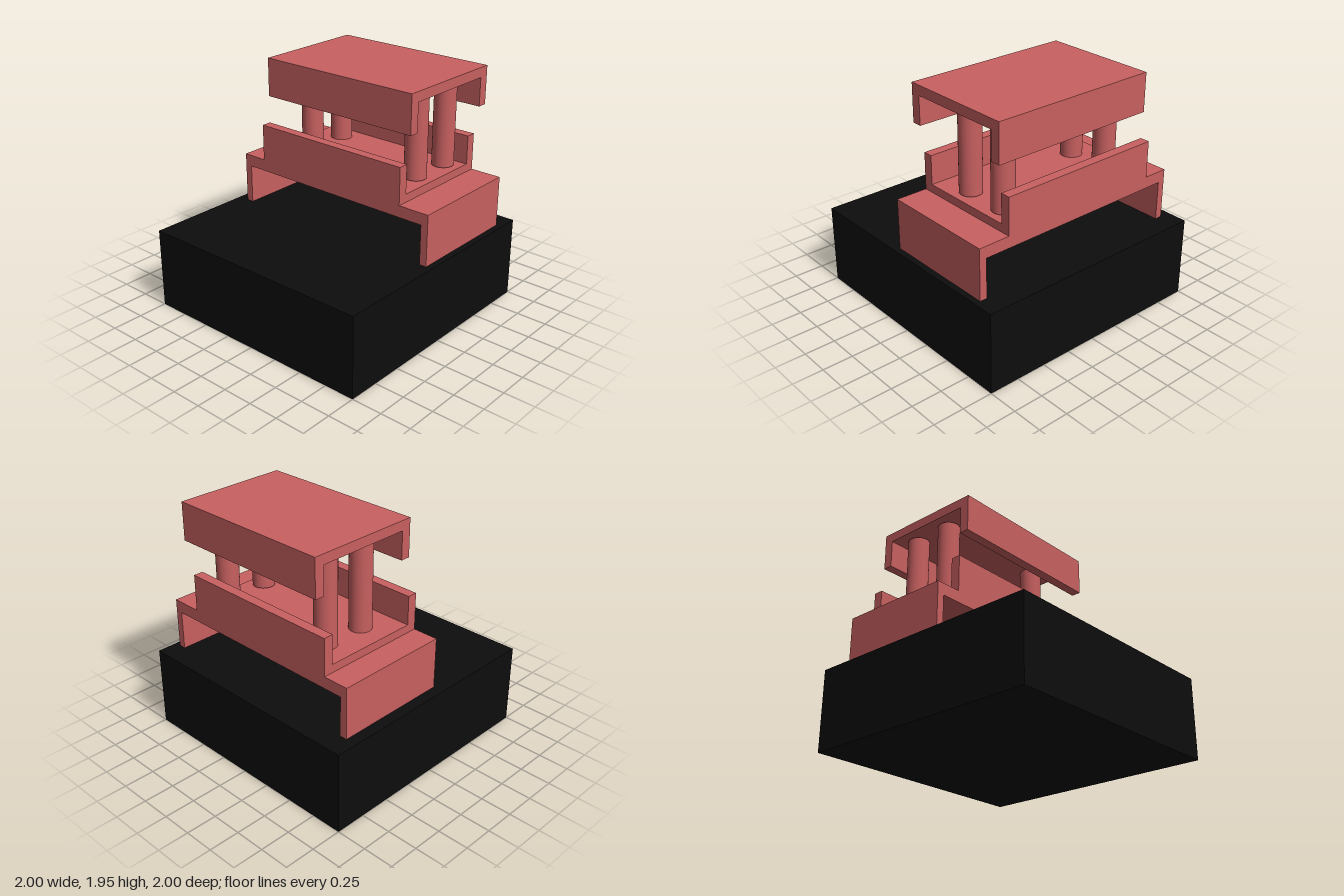
import * as THREE from 'three';

const red = new THREE.MeshStandardMaterial({ color: 0xc86060 });
const black = new THREE.MeshStandardMaterial({ color: 0x0d0d0d });

// Extrude a closed outline of [u, v] points by depth
function extrude(name, points, depth) {
  const shape = new THREE.Shape(points.map(([u, v]) => new THREE.Vector2(u, v)));
  const geometry = new THREE.ExtrudeGeometry(shape, { depth, bevelEnabled: false });
  const mesh = new THREE.Mesh(geometry, red);
  mesh.name = name;
  return mesh;
}

// Channel running along x: outline in (-z, y), turned to face along +x
function channel(name, points, x0, x1) {
  const mesh = extrude(name, points, x1 - x0);
  mesh.geometry.rotateY(Math.PI / 2);
  mesh.position.x = x0;
  return mesh;
}

export function createModel() {
  const model = new THREE.Group();
  const front = 0.115, back = -0.83, wall = 0.08;

  // Ground block
  const base = new THREE.Mesh(new THREE.BoxGeometry(2, 0.66, 2), black);
  base.name = 'base';
  base.position.y = 0.33;
  model.add(base);

  // Bridge: deck with a leg wall at each end
  const bridge = extrude('bridge', [
    [-0.91, 0.66], [-0.85, 0.66], [-0.85, 0.98], [0.89, 0.98],
    [0.89, 0.66], [0.95, 0.66], [0.95, 1.075], [-0.91, 1.075],
  ], front - back);
  bridge.position.z = back;
  model.add(bridge);

  // Tray: upward channel with open ends
  const a = -front, b = -back;
  model.add(channel('tray', [
    [a, 1.075], [b, 1.075], [b, 1.375], [b - wall, 1.375],
    [b - wall, 1.14], [a + wall, 1.14], [a + wall, 1.375], [a, 1.375],
  ], -0.7, 0.69));

  // Roof: downward channel with open ends
  model.add(channel('roof', [
    [a, 1.635], [a + wall, 1.635], [a + wall, 1.865], [b - wall, 1.865],
    [b - wall, 1.635], [b, 1.635], [b, 1.945], [a, 1.945],
  ], -0.62, 0.775));

  // Columns: x, z, bottom
  const columns = new THREE.Group();
  columns.name = 'columns';
  const columnGeometry = new THREE.CylinderGeometry(0.088, 0.088, 0.715, 48);
  for (const [x, z, bottom] of [
    [-0.475, -0.235, 1.14], [-0.47, -0.587, 1.14],
    [0.555, -0.255, 1.15], [0.555, -0.612, 1.15],
  ]) {
    const column = new THREE.Mesh(columnGeometry, red);
    column.name = 'column';
    column.position.set(x, bottom + 0.3575, z);
    columns.add(column);
  }
  model.add(columns);

  return model;
}
